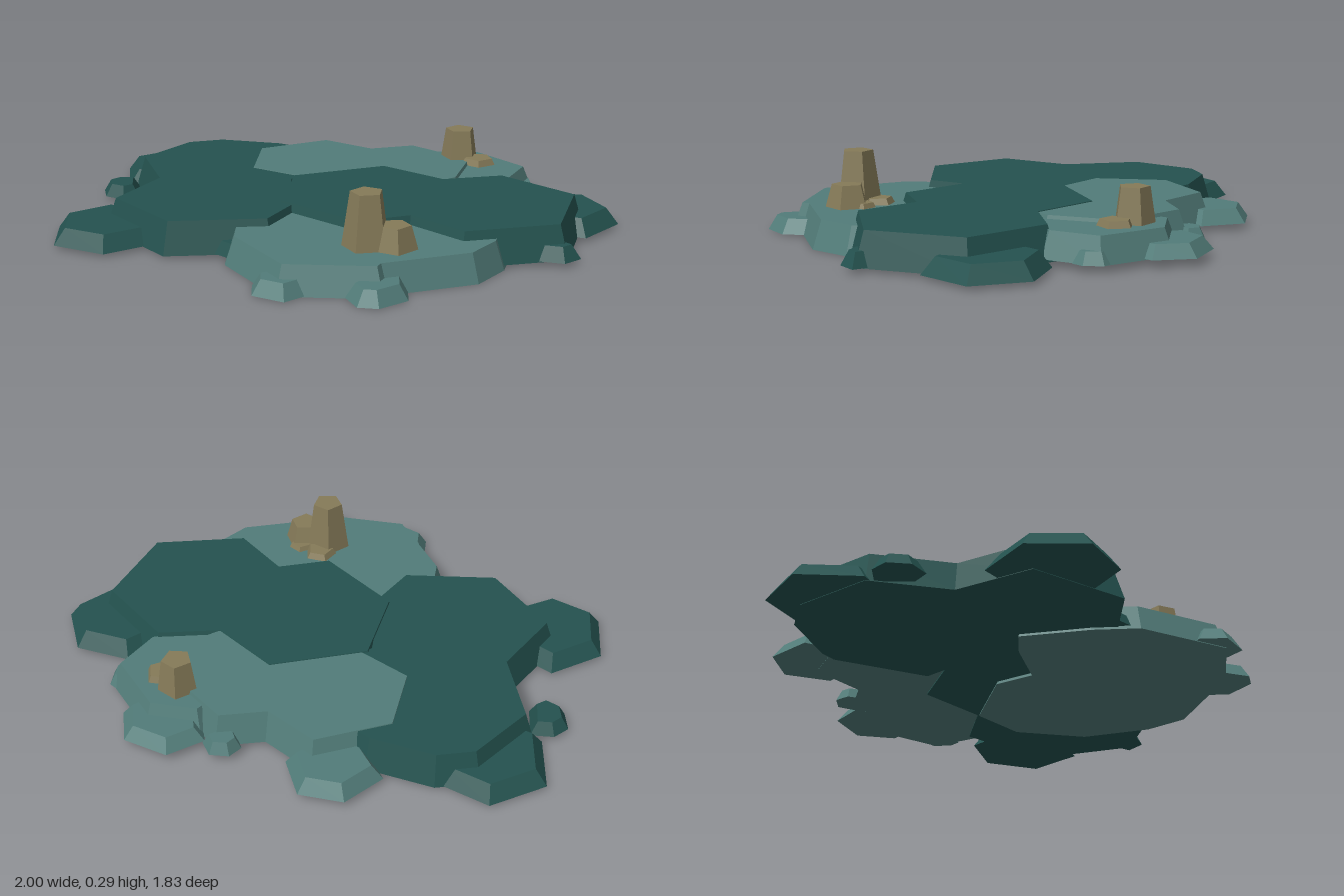
import * as THREE from 'three';

const paint = (color) => new THREE.MeshStandardMaterial({ color, flatShading: true });

// Outline from flat x,z pairs in hundredths, always wound the same way
function outline(flat) {
  const pts = [];
  for (let i = 0; i < flat.length; i += 2) pts.push(new THREE.Vector2(flat[i] / 100, flat[i + 1] / 100));
  if (THREE.ShapeUtils.isClockWise(pts)) pts.reverse();
  return pts;
}

// Push every edge outward by d, with mitred corners
function grow(pts, d) {
  const n = pts.length;
  const normal = (a, b) => new THREE.Vector2(b.y - a.y, a.x - b.x).normalize();
  return pts.map((p, i) => {
    const n1 = normal(pts[(i + n - 1) % n], p), n2 = normal(p, pts[(i + 1) % n]);
    const m = n1.clone().add(n2);
    return p.clone().addScaledVector(m, d / Math.max(0.6, 1 + n1.dot(n2)));
  });
}

// Flat-topped slab with sloping sides between two outlines
function slabGeometry(bottom, top, y0, y1) {
  const pos = [], n = bottom.length;
  const put = (p, y) => pos.push(p.x, y, p.y);
  for (let i = 0; i < n; i++) {
    const j = (i + 1) % n;
    put(bottom[i], y0); put(top[i], y1); put(top[j], y1);
    put(bottom[i], y0); put(top[j], y1); put(bottom[j], y0);
  }
  for (const [a, b, c] of THREE.ShapeUtils.triangulateShape(top, [])) {
    put(top[a], y1); put(top[c], y1); put(top[b], y1);
  }
  for (const [a, b, c] of THREE.ShapeUtils.triangulateShape(bottom, [])) {
    put(bottom[a], y0); put(bottom[b], y0); put(bottom[c], y0);
  }
  const geo = new THREE.BufferGeometry();
  geo.setAttribute('position', new THREE.Float32BufferAttribute(pos, 3));
  geo.computeVertexNormals();
  return geo;
}

export function createModel() {
  const model = new THREE.Group();
  const dark = paint(0x24524f), light = paint(0x527c79), brown = paint(0x857a58);

  const add = (name, geo, mat) => {
    const mesh = new THREE.Mesh(geo, mat);
    mesh.name = name;
    model.add(mesh);
    return mesh;
  };
  // Large plates: the outline is the top edge
  const plate = (name, mat, y0, y1, flat) => {
    const top = outline(flat);
    add(name, slabGeometry(grow(top, 0.033), top, y0, y1), mat);
  };
  // Small ledges: the outline is the bottom edge
  const ledge = (name, mat, y0, y1, inset, flat) => {
    const bottom = outline(flat);
    add(name, slabGeometry(bottom, grow(bottom, -inset), y0, y1), mat);
  };

  // Main plates
  plate('leftDarkPlate', dark, 0.01, 0.128, [-81, -7, -77, 20, -51, 35, -43, 63, -9, 68, 14, 42,
    9, 25, -14, 2, -16, -21, -48, -32, -53, -31, -74, -19]);
  plate('rightDarkPlate', dark, 0.012, 0.134, [1, -34, 29, -36, 42, -55, 76, -54, 93, -22, 74, 7,
    49, 6, 40, 24, 4, 25, -15, -1]);
  plate('backLightPlate', light, 0.02, 0.131, [-52, -20, -42, -47, -20, -50, -11, -65, 18, -65,
    30, -42, 29, -34, 9, -29, -14, -3, -35, 1]);
  plate('backLowerPlate', light, 0.024, 0.118, [11, -79, 37, -75, 43, -57, 33, -34, 3, -40, -2, -68]);
  plate('frontLightPlate', light, 0, 0.102, [14, 58, 46, 67, 70, 47, 69, 44, 84, 15, 82, 0, 70, -22,
    48, -36, 28, -34, 13, -9, 17, 7, -3, 20, -10, 27, 3, 46]);

  // Dark ledges around the rim
  ledge('leftLedge', dark, 0.012, 0.07, 0.04, [-95, -13, -74, -20, -61, -5, -65, 18, -82, 24, -100, 9]);
  ledge('leftSmallLedge', dark, 0.014, 0.06, 0.025, [-83, 29, -83, 36, -76, 41, -68, 39, -67, 32, -77, 23]);
  ledge('frontLeftLedge', dark, 0.012, 0.07, 0.04, [-56, 54, -60, 76, -44, 91, -24, 85, -19, 64, -37, 51]);
  ledge('backRightLedge', dark, 0.014, 0.075, 0.04, [49, -65, 67, -76, 87, -67, 88, -45, 67, -37, 49, -45]);
  ledge('rightSmallLedge', dark, 0.016, 0.068, 0.025, [94, -26, 100, -25, 99, -17, 91, -13, 83, -17, 84, -28]);
  ledge('frontSmallLedge', dark, 0.014, 0.06, 0.02, [16, 52, 11, 58, 4, 58, 2, 50, 8, 45, 14, 46]);

  // Light ledges around the rim
  ledge('backLeftLedge', light, 0.022, 0.075, 0.035, [-64, -51, -51, -61, -35, -54, -35, -40, -48, -29, -63, -33]);
  ledge('backSmallLedge', light, 0.026, 0.07, 0.02, [-21, -68, -16, -73, -9, -71, -10, -63, -15, -60, -20, -62]);
  ledge('backLedge', light, 0.028, 0.075, 0.035, [-7, -85, 9, -92, 22, -84, 22, -67, 6, -61, -9, -70]);
  ledge('backRightSmallLedge', light, 0.026, 0.07, 0.02, [39, -79, 44, -74, 44, -69, 38, -67, 33, -72, 33, -78]);
  ledge('frontRightLedge', light, 0.002, 0.055, 0.03, [73, 35, 81, 44, 79, 56, 73, 60, 64, 56, 62, 40]);
  ledge('frontLedge', light, 0.003, 0.055, 0.03, [54, 64, 53, 73, 41, 76, 34, 69, 38, 59, 50, 57]);

  // Five-sided stumps: x, z, base y, top y, top radius, base radius, turn
  const stumps = [
    [0.54, 0.345, 0.09, 0.295, 0.058, 0.088, 0.3],
    [0.62, 0.295, 0.09, 0.185, 0.058, 0.085, 0.9],
    [0.50, 0.275, 0.09, 0.125, 0.05, 0.07, 0.6],
    [0.59, 0.25, 0.09, 0.12, 0.04, 0.055, 0.1],
    [0.125, -0.66, 0.11, 0.243, 0.056, 0.076, 0.2],
    [0.215, -0.665, 0.11, 0.142, 0.055, 0.07, 0.7],
  ];
  stumps.forEach(([x, z, y0, y1, rTop, rBase, turn], i) => {
    const stump = add(`stump${i + 1}`, new THREE.CylinderGeometry(rTop, rBase, y1 - y0, 5), brown);
    stump.position.set(x, (y0 + y1) / 2, z);
    stump.rotation.y = turn;
  });
  return model;
}
